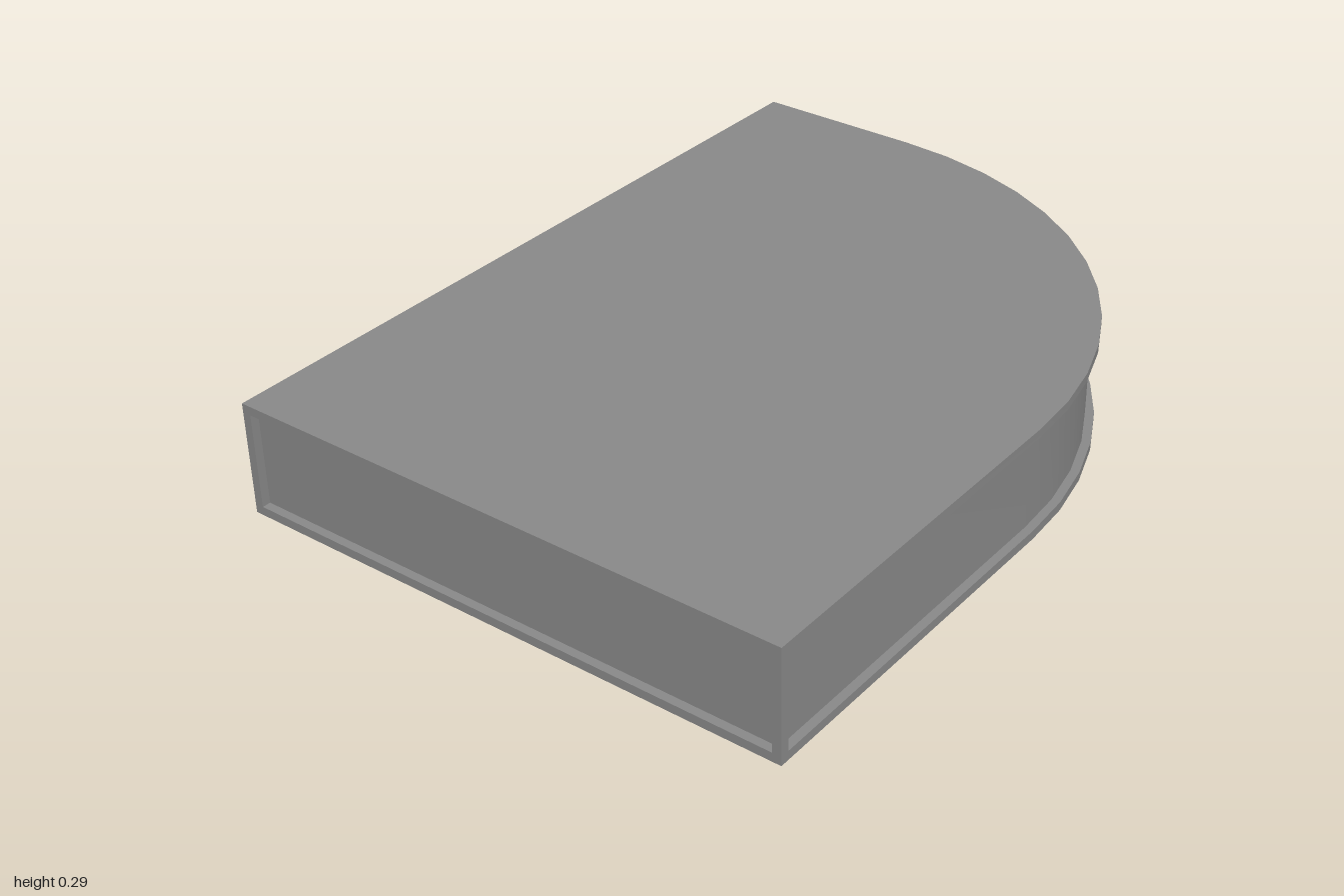
import * as THREE from 'three';
import { toCreasedNormals } from 'three/addons/utils/BufferGeometryUtils.js';

const HALF_W = 0.745, HALF_D = 1, HEIGHT = 0.293;
const RADIUS = 1.04;    // rounded back corner
const SLAB = 0.023;     // slab thickness
const POST = 0.023;     // corner post width
const RECESS = 0.022;   // how far the walls sit inside the slabs

// Plan outline with one rounded corner, moved inwards by inset (shape y is -z)
function outline(inset) {
  const w = HALF_W - inset, d = HALF_D - inset;
  const s = new THREE.Shape();
  s.moveTo(-w, -d);
  s.lineTo(w, -d);
  s.absarc(HALF_W - RADIUS, HALF_D - RADIUS, RADIUS - inset, 0, Math.PI / 2, false);
  s.lineTo(-w, d);
  s.closePath();
  return s;
}

export function createModel() {
  const group = new THREE.Group();
  const material = new THREE.MeshStandardMaterial({ color: 0x888888 });

  function add(name, geometry, x = 0, y = 0, z = 0) {
    const mesh = new THREE.Mesh(geometry, material);
    mesh.name = name;
    mesh.position.set(x, y, z);
    group.add(mesh);
  }

  function layer(name, inset, y, height) {
    const g = new THREE.ExtrudeGeometry(outline(inset), {
      depth: height, bevelEnabled: false, curveSegments: 6,
    });
    g.rotateX(-Math.PI / 2);
    add(name, toCreasedNormals(g, Math.PI / 6), 0, y, 0);
  }

  // Overhanging slabs with the recessed wall between them
  layer('bottomSlab', 0, 0, SLAB);
  layer('recessedWall', RECESS, SLAB, HEIGHT - 2 * SLAB);
  layer('topSlab', 0, HEIGHT - SLAB, SLAB);

  // Posts at the three square corners, overlapping the wall corners
  const postGeometry = new THREE.BoxGeometry(POST, HEIGHT - 2 * SLAB, POST);
  const px = HALF_W - POST / 2, pz = HALF_D - POST / 2;
  add('frontLeftPost', postGeometry, px, HEIGHT / 2, pz);
  add('frontRightPost', postGeometry, -px, HEIGHT / 2, pz);
  add('backRightPost', postGeometry, -px, HEIGHT / 2, -pz);

  return group;
}
